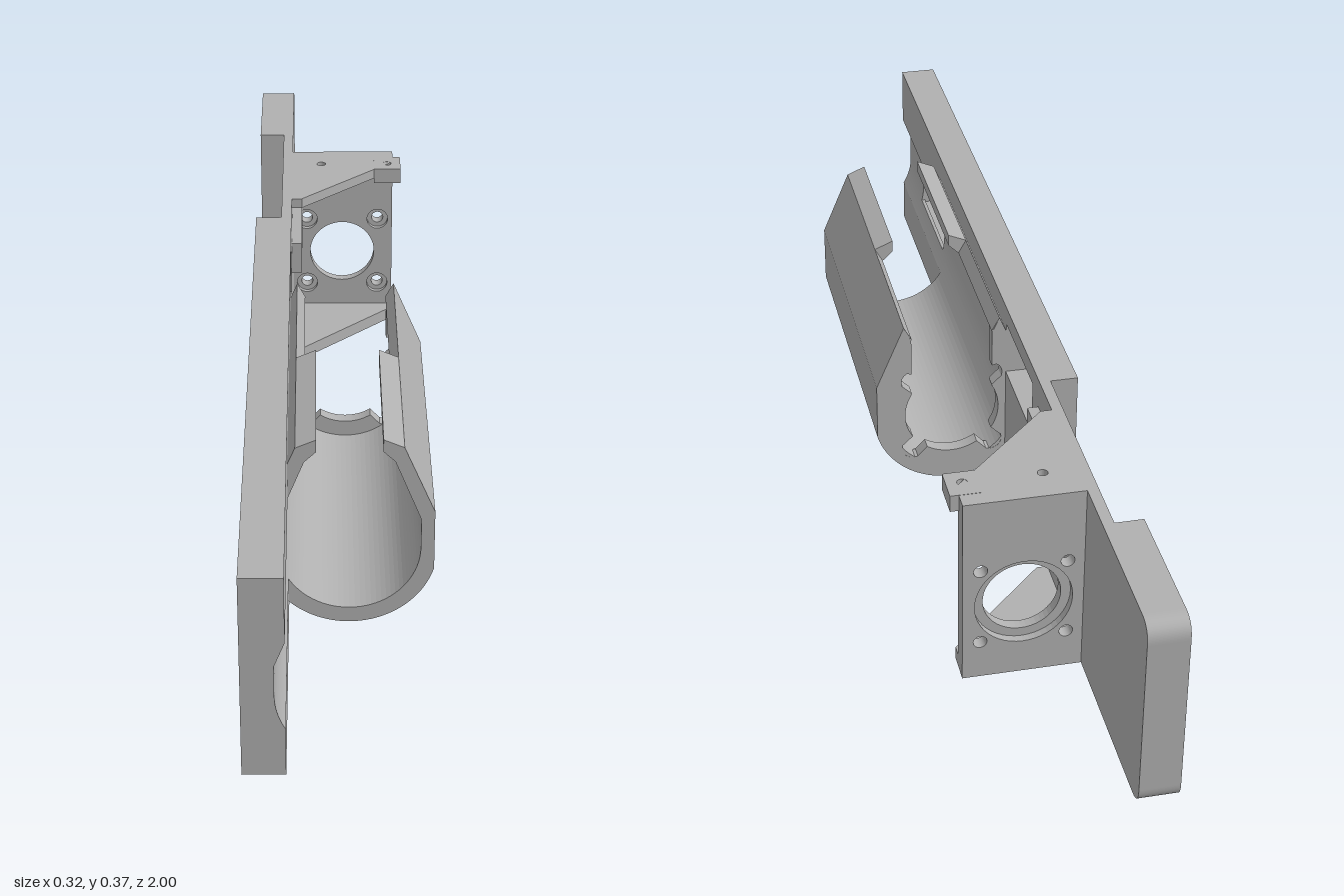
import * as THREE from 'three';

const CX = 0.014, CY = 0.15; // axis shared by the cradle and the end mount
const V = (x, y) => new THREE.Vector2(x, y);

function circle(x, y, r) {
  return new THREE.Path().absarc(x, y, r, 0, Math.PI * 2, true);
}
function rect(x0, y0, x1, y1) {
  return new THREE.Path([V(x0, y0), V(x0, y1), V(x1, y1), V(x1, y0), V(x0, y0)]);
}
const boxShape = (x0, y0, x1, y1) => new THREE.Shape([V(x0, y0), V(x1, y0), V(x1, y1), V(x0, y1)]);

// points on an arc about the shared axis, angles in degrees
function arc(r, a0, a1, n = 40) {
  return Array.from({ length: n + 1 }, (_, i) => {
    const a = THREE.MathUtils.degToRad(a0 + (a1 - a0) * i / n);
    return V(CX + r * Math.cos(a), CY + r * Math.sin(a));
  });
}
// half-profile points on the right or left of the axis
const side = (pts, s) => pts.map(([h, y]) => V(CX + s * h, y));

export function createModel() {
  const group = new THREE.Group();
  const grey = new THREE.MeshStandardMaterial({ color: 0xb0b0b0 });

  // extrude a shape along an axis, from a to b
  function extrude(name, shape, axis, a, b) {
    const g = new THREE.ExtrudeGeometry(shape, { depth: b - a, bevelEnabled: false, curveSegments: 24 });
    if (axis === 'x') g.rotateY(Math.PI / 2).translate(a, 0, 0);  // shape is (-z, y)
    if (axis === 'y') g.rotateX(-Math.PI / 2).translate(0, a, 0); // shape is (x, -z)
    if (axis === 'z') g.translate(0, 0, a);
    const m = new THREE.Mesh(g, grey);
    m.name = name;
    group.add(m);
  }

  // side plate outline with rounded rear corners, optionally notched at the top
  function plateOutline(start, notched) {
    const s = new THREE.Shape();
    s.moveTo(start, 0).lineTo(0.965, 0).quadraticCurveTo(1, 0, 1, 0.035);
    s.lineTo(1, 0.33).quadraticCurveTo(1, 0.365, 0.965, 0.365);
    if (notched) s.lineTo(0.73, 0.365).lineTo(0.73, 0.135).lineTo(0.3, 0.135).lineTo(0.3, 0.365);
    s.lineTo(start, 0.365).lineTo(start, 0);
    return s;
  }
  const screws = [[-0.09, 0.31], [-0.09, 0.06], [-0.94, 0.05]];
  const pins = [[-0.13, 0.145], [-0.49, 0.15]];
  const frontWindow = () => rect(-0.85, 0.115, -0.62, 0.21);

  // outer layer: window recess and screw counterbores
  const outer = plateOutline(-1, true);
  outer.holes.push(frontWindow(), rect(-0.01, 0.2, 0.29, 0.35),
    ...screws.map(([x, y]) => circle(x, y, 0.028)), ...pins.map(([x, y]) => circle(x, y, 0.012)));
  extrude('plateOuterLayer', outer, 'x', -0.16, -0.13);

  // middle layer
  const middle = plateOutline(-1, true);
  middle.holes.push(frontWindow(), rect(0.04, 0.225, 0.25, 0.33),
    ...screws.map(([x, y]) => circle(x, y, 0.014)), ...pins.map(([x, y]) => circle(x, y, 0.012)));
  extrude('plateMiddleLayer', middle, 'x', -0.13, -0.11);

  // inner layer, rear: plain, with rear window and blind holes
  const inner = plateOutline(0.04, false);
  inner.holes.push(rect(0.0401, 0.225, 0.25, 0.33), circle(0.52, 0.065, 0.01), circle(0.52, 0.125, 0.01));
  extrude('plateInnerRear', inner, 'x', -0.11, -0.09);

  // inner layer, front: hollowed by a lengthwise groove, split around the window
  const low = arc(0.121, 210.8, 194.5, 8);
  const lowPts = [V(-0.11, 0), V(-0.09, 0), ...low];
  const highPts = [V(-0.105, 0.21), V(-0.09, 0.248), V(-0.09, 0.365), V(-0.11, 0.365)];
  const grooved = () => new THREE.Shape([...lowPts, ...arc(0.121, 193, 180, 6), V(-0.107, 0.205), ...highPts]);
  extrude('plateInnerFront', grooved(), 'z', 0.85, 1);
  extrude('plateInnerMiddle', grooved(), 'z', -0.04, 0.62);
  extrude('plateBelowWindow', new THREE.Shape([...lowPts, V(-0.11, 0.12)]), 'z', 0.62, 0.85);
  extrude('plateAboveWindow', new THREE.Shape([V(-0.11, 0.21), ...highPts]), 'z', 0.62, 0.85);

  // open-topped cradle; its front half has lips along the opening
  const outside = [[0.091, 0.345], [0.144, 0.22]];
  const inside = [[0.076, 0.318], [0.121, 0.205]];
  const lip = [[0.056, 0.36], [0.056, 0.337]];
  const outerRun = () => [...side(outside, 1), ...arc(0.15, -16.3, -163.7),
    ...side([...outside].reverse(), -1)];
  function cradle(lips) {
    return new THREE.Shape([...outerRun(), ...(lips ? side(lip, -1) : []), ...side(inside, -1),
      ...arc(0.121, 180, 360), ...side([...inside].reverse(), 1), ...(lips ? side([...lip].reverse(), 1) : [])]);
  }
  extrude('cradleFront', cradle(true), 'z', 0.26, 0.58);
  extrude('cradleRear', cradle(false), 'z', -0.04, 0.26);

  // cradle end wall: U-shaped opening with four round screw clearances
  const opening = [];
  for (let d = 115; d <= 425; d += 2.5) {
    const a = THREE.MathUtils.degToRad(d), c = Math.cos(a), s = Math.sin(a);
    let r = 0.09;
    if (s > 0) r = Math.max(r, 0.077 / Math.abs(c));
    const off = a - (Math.floor(a / (Math.PI / 2)) + 0.5) * Math.PI / 2;
    const dist = 0.106, reach = 0.022 ** 2 - (dist * Math.sin(off)) ** 2;
    if (reach > 0 && d > 130 && d < 410) r = Math.max(r, dist * Math.cos(off) + Math.sqrt(reach));
    opening.push(V(CX + r * c, CY + r * s));
  }
  extrude('cradleEndWall', new THREE.Shape([...outerRun(), ...opening]), 'z', -0.0405, -0.015);

  // end mount: layered wall with stepped bore and counterbored screw holes
  function mountLayer(bore, screw, z0, z1) {
    const s = boxShape(-0.09, 0, 0.12, 0.365);
    s.holes.push(circle(CX, CY, bore));
    for (const i of [-1, 1]) for (const j of [-1, 1]) s.holes.push(circle(CX + i * 0.075, CY + j * 0.075, screw));
    extrude('mountWall', s, 'z', z0, z1);
  }
  mountLayer(0.085, 0.012, -0.635, -0.62);
  mountLayer(0.068, 0.012, -0.62, -0.61);
  mountLayer(0.068, 0.022, -0.61, -0.6);

  // triangular gussets above and below the mount
  const gusset = () => new THREE.Shape([V(-0.09, 0.6), V(-0.09, 0.39), V(-0.07, 0.39), V(0.12, 0.58), V(0.12, 0.6)]);
  const top = gusset();
  top.holes.push(circle(-0.03, 0.57, 0.009));
  extrude('topGusset', top, 'y', 0.345, 0.365);
  extrude('bottomGusset', gusset(), 'y', 0, 0.025);

  // drilled tab on the top corner
  const tab = boxShape(0.08, 0.54, 0.135, 0.605);
  tab.holes.push(circle(0.107, 0.57, 0.009));
  extrude('cornerTab', tab, 'y', 0.334, 0.3655);

  // raised bar on the inner face
  extrude('innerRail', boxShape(0.295, 0.245, 0.6, 0.31), 'x', -0.09, -0.07);

  return group;
}
